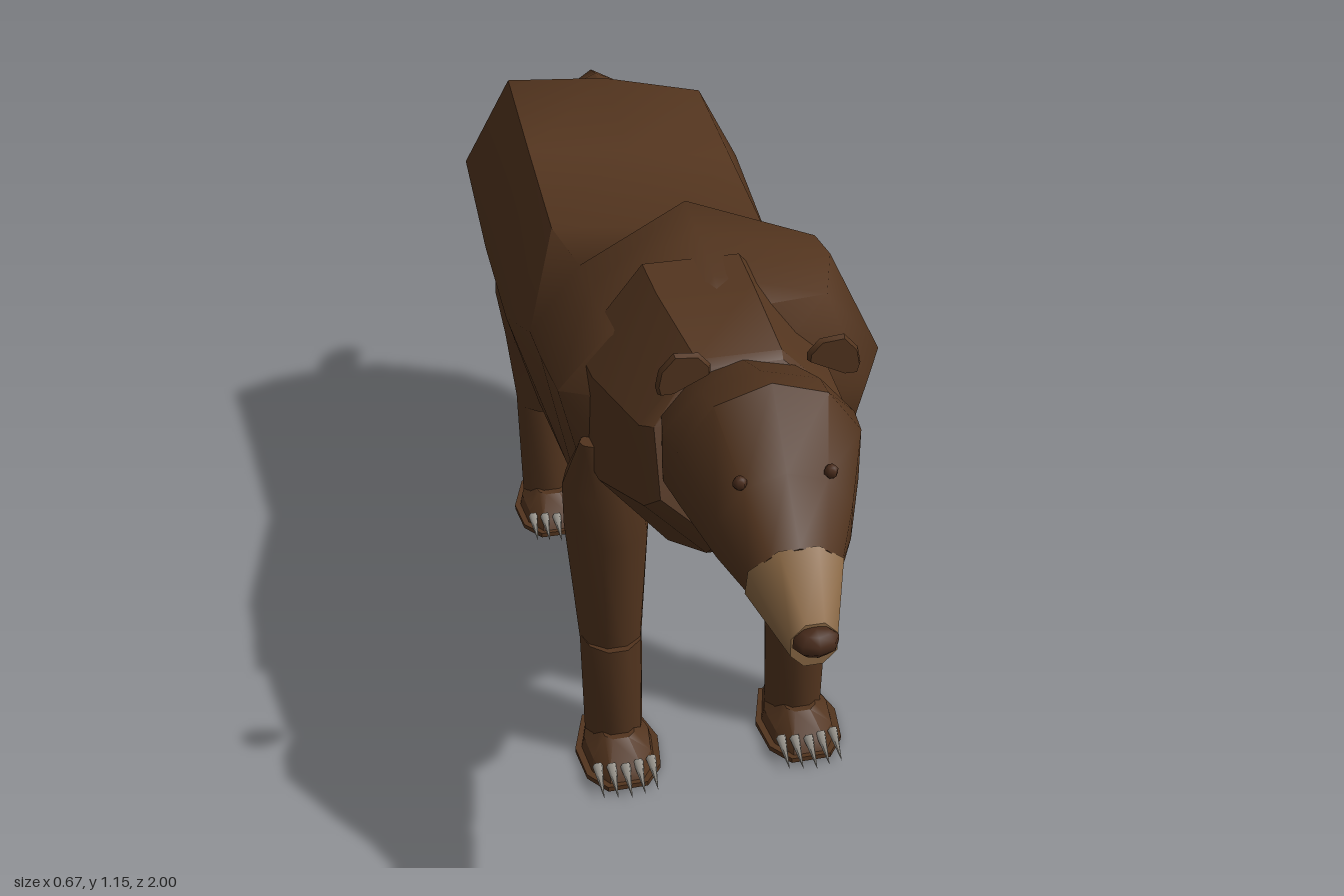
import * as THREE from 'three';
import { toCreasedNormals } from 'three/addons/utils/BufferGeometryUtils.js';

const material = (name, color) => {
  const m = new THREE.MeshStandardMaterial({ color });
  m.name = name;
  return m;
};
const AXIS = -0.02; // the head and neck sit slightly off centre

// Skin a list of rings (each a list of [x, y, z]) and close both ends.
function loft(rings, crease = 0.8) {
  const n = rings[0].length, pos = [], idx = [];
  rings.forEach(r => r.forEach(p => pos.push(...p)));
  for (let i = 0; i < rings.length - 1; i++) {
    for (let j = 0; j < n; j++) {
      const a = i * n + j, b = i * n + (j + 1) % n;
      idx.push(a, b, b + n, a, b + n, a + n);
    }
  }
  const last = (rings.length - 1) * n;
  for (let j = 1; j < n - 1; j++) {
    idx.push(0, j + 1, j, last, last + j, last + j + 1);
  }
  // make the faces point outward whichever way the rings run
  let volume = 0;
  const v = k => new THREE.Vector3().fromArray(pos, k * 3);
  for (let k = 0; k < idx.length; k += 3) volume += v(idx[k]).dot(v(idx[k + 1]).cross(v(idx[k + 2])));
  if (volume < 0) idx.reverse();
  const g = new THREE.BufferGeometry();
  g.setAttribute('position', new THREE.Float32BufferAttribute(pos, 3));
  g.setIndex(idx);
  return toCreasedNormals(g, crease);
}

// Upright ring facing along z; tilt pushes its lower half forward.
function uprightRing([z, top, bottom, half, tilt = 0, cx = AXIS], n = 8) {
  return Array.from({ length: n }, (_, i) => {
    const a = (i / n) * Math.PI * 2 + Math.PI / n, k = 1 / Math.cos(Math.PI / n);
    const s = Math.sin(a) * k;
    return [cx + half * Math.cos(a) * k, (top + bottom) / 2 + s * (top - bottom) / 2, z - s * tilt];
  });
}

// Level ring for the legs.
function levelRing([x, y, z, rx, rz, slope = 0]) {
  return Array.from({ length: 10 }, (_, i) => {
    const a = (i / 10) * Math.PI * 2;
    return [x + rx * Math.cos(a), y + slope * Math.sin(a), z + rz * Math.sin(a) * 1.04];
  });
}

// Eight-cornered torso section with uneven flanks and shoulders.
function torsoRing([z, top, bottom, left, right, leftTop, rightTop]) {
  const h = top - bottom;
  return [
    [AXIS, top, z], [0.69 * left, leftTop, z], [left, bottom + 0.48 * h, z], [0.82 * left, bottom + 0.1 * h, z],
    [AXIS, bottom, z], [-0.82 * right, bottom + 0.1 * h, z], [-right, bottom + 0.6 * h, z], [-0.69 * right, rightTop, z],
  ];
}

export function createModel() {
  const model = new THREE.Group();
  const fur = material('brown fur', 0x52341e);
  const tan = material('tan muzzle', 0x8a6844);
  const dark = material('dark nose', 0x472a1a);
  const grey = material('grey claw', 0x9c9890);

  const add = (name, geometry, mat, parent = model) => {
    const mesh = new THREE.Mesh(geometry, mat);
    mesh.name = name;
    parent.add(mesh);
    return mesh;
  };

  // Torso: z, top, bottom, left flank, right flank, left and right shoulder height
  add('torso', loft([
    [0.35, 1.06, 0.66, 0.16, 0.18, 1.00, 1.00],
    [0.28, 1.09, 0.60, 0.27, 0.30, 1.03, 1.00],
    [0.14, 1.11, 0.54, 0.335, 0.31, 1.03, 1.01],
    [0.05, 1.12, 0.52, 0.33, 0.315, 1.02, 1.01],
    [-0.25, 0.91, 0.48, 0.31, 0.325, 0.87, 0.93],
    [-0.52, 0.95, 0.46, 0.295, 0.33, 0.91, 0.97],
    [-0.78, 1.00, 0.58, 0.28, 0.335, 0.95, 1.015],
    [-0.85, 0.94, 0.66, 0.20, 0.26, 0.90, 0.95],
    [-0.90, 0.90, 0.74, 0.08, 0.12, 0.87, 0.89],
  ].map(torsoRing), 1.1), fur);

  // Neck: z, top, bottom, half width, tilt, centre
  add('neck', loft([
    [0.24, 1.09, 0.60, 0.21, 0.03, -0.045],
    [0.34, 1.08, 0.61, 0.205, 0.04, -0.04],
    [0.53, 1.06, 0.72, 0.175, 0.04, -0.025],
    [0.565, 1.05, 0.78, 0.16, 0.06],
  ].map(r => uprightRing(r)), 0.6), fur);

  // Head and muzzle
  add('head', loft([
    [0.50, 1.05, 0.84, 0.14],
    [0.61, 1.095, 0.82, 0.16],
    [0.68, 1.115, 0.815, 0.15],
    [0.78, 1.015, 0.805, 0.11],
    [0.845, 0.935, 0.80, 0.075, -0.02],
  ].map(r => uprightRing(r, 10))), fur);
  add('muzzle', loft([
    [0.843, 0.937, 0.80, 0.077, -0.02],
    [0.965, 0.87, 0.79, 0.037],
  ].map(r => uprightRing(r))), tan);
  const nose = add('nose', new THREE.SphereGeometry(1, 8, 5), dark);
  nose.scale.set(0.038, 0.024, 0.028);
  nose.position.set(AXIS, 0.843, 0.972);

  // Ear outline: distance outward, height
  const earOutline = [[0.042, -0.036], [0.02, -0.036], [-0.044, -0.004], [-0.044, 0.01], [-0.024, 0.033], [0.016, 0.037], [0.04, 0.01], [0.046, -0.02]];
  for (const side of [-1, 1]) {
    // Eyes
    const eye = add('eye', new THREE.SphereGeometry(0.012, 6, 5), dark);
    eye.position.set(AXIS + side * 0.073, 1.01, 0.775);
    // Ears: thin plates standing off the skull
    const layer = (z, s) => earOutline.map(([u, y]) => [AXIS + side * (0.123 + u * s), 1.109 + y * s, z]);
    add('ear', loft([layer(0.588, 0.75), layer(0.598, 1), layer(0.608, 0.9)]), fur);
  }

  // Tail: stubby and bent downward
  add('tail', loft([
    [-0.85, 0.955, 0.895, 0.045],
    [-0.90, 0.955, 0.895, 0.04],
    [-0.945, 0.94, 0.88, 0.03, 0.01],
    [-0.98, 0.89, 0.852, 0.022, 0.016],
  ].map(r => uprightRing(r, 6))), fur);

  // Legs
  function makeLeg(name, x, z, front) {
    const leg = new THREE.Group();
    leg.name = name;
    leg.position.set(x, 0, z);
    model.add(leg);
    const s = Math.sign(x);
    const upper = front
      ? [[0, 0.25, 0, 0.06, 0.064], [0, 0.55, -0.012, 0.082, 0.102], [s * 0.012, 0.67, 0.03, 0.076, 0.075], [s * 0.03, 0.80, 0.09, 0.032, 0.022]]
      : [[0, 0.29, 0, 0.061, 0.065], [0, 0.46, -0.015, 0.078, 0.098], [s * 0.01, 0.57, -0.02, 0.084, 0.132], [s * 0.015, 0.66, -0.05, 0.07, 0.11]];
    add('upperLeg', loft(upper.map(levelRing)), fur, leg);
    add('lowerLeg', loft([
      [0, 0.025, 0, 0.059, 0.066],
      [0, front ? 0.285 : 0.33, front ? 0 : -0.005, 0.062, front ? 0.083 : 0.065, 0.01],
    ].map(levelRing)), fur, leg);
    // Paw: flat sole with a wedge of toes above
    const sole = [[-0.055, -0.065], [0.055, -0.065], [0.085, 0.03], [0.075, 0.11], [0.04, 0.155], [-0.04, 0.155], [-0.075, 0.11], [-0.085, 0.03]];
    add('sole', loft([0, 0.011].map(y => sole.map(([a, b]) => [a, y, b])), 0.4), fur, leg);
    add('paw', loft([
      sole.map(([a, b]) => [a * 0.85, 0.008, b * 0.95]),
      sole.map(([a, b]) => [a * 0.78, 0.035, b * 0.85]),
      sole.map(([a, b]) => [a * 0.4, 0.068, b * 0.3 + 0.035]),
    ], 0.5), fur, leg);
    // Claws
    for (let i = -2; i <= 2; i++) {
      const claw = add('claw', new THREE.ConeGeometry(0.011, 0.075, 5), grey, leg);
      claw.rotation.x = Math.PI / 2 + 0.3;
      claw.position.set(i * 0.027, 0.028, 0.165 - Math.abs(i) * 0.006);
    }
  }
  for (const [side, x] of [['Left', 0.168], ['Right', -0.208]]) {
    makeLeg('front' + side + 'Leg', x, 0.22, true);
    makeLeg('back' + side + 'Leg', x, -0.63, false);
  }
  return model;
}
